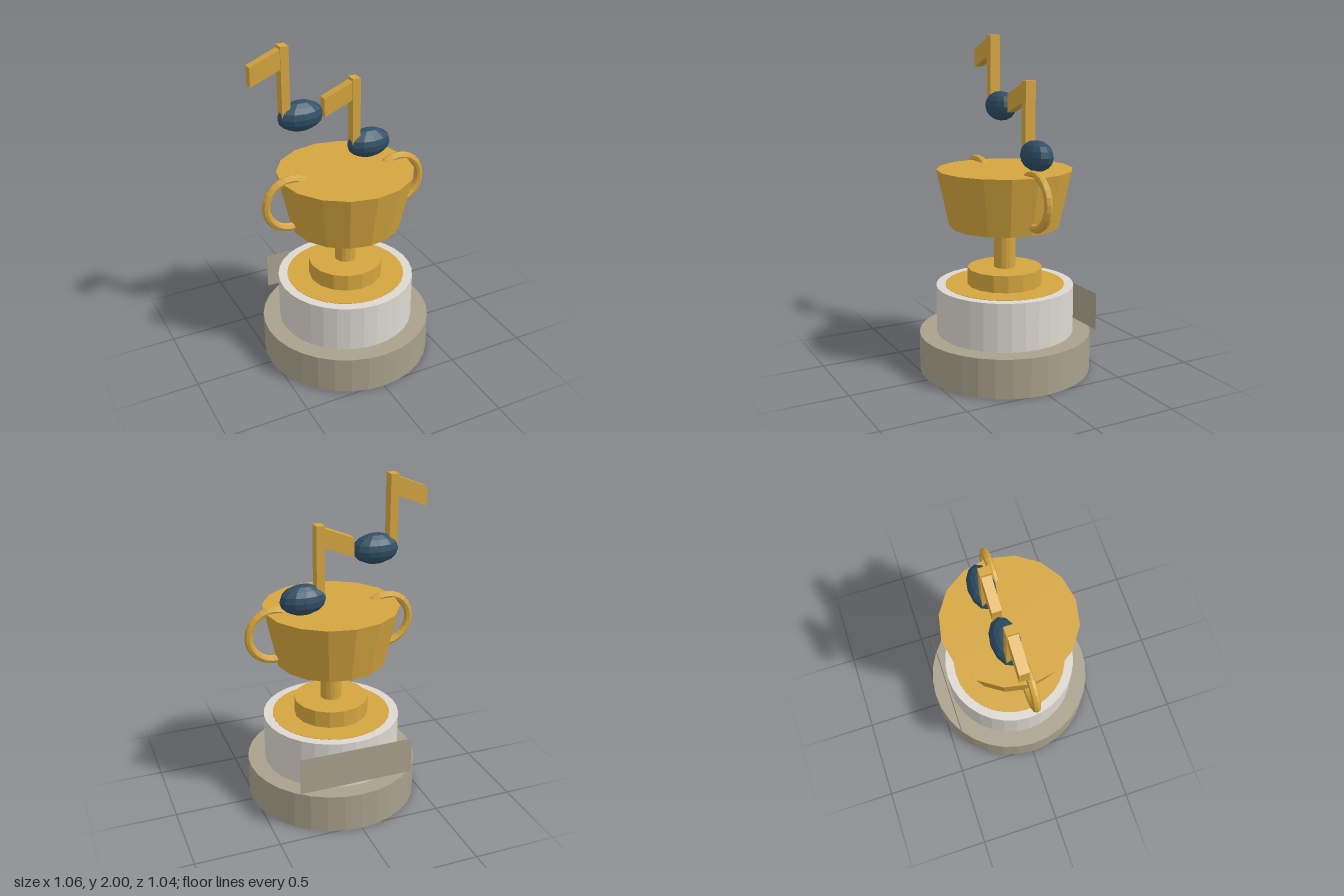
import * as THREE from 'three';

export function createModel() {
  const material = (name, color, extra = {}) => {
    const m = new THREE.MeshStandardMaterial({ color, flatShading: true, ...extra });
    m.name = name;
    return m;
  };
  const gold = material('gold', 0xd4a53f);
  const marble = material('pale marble', 0xdcd7d0);
  const stone = material('grey stone', 0xa9a08c, { side: THREE.DoubleSide });
  const navy = material('navy blue', 0x2f4f66);

  const trophy = new THREE.Group();
  trophy.name = 'trophy';
  const add = (parent, name, geometry, mat, x = 0, y = 0, z = 0) => {
    const mesh = new THREE.Mesh(geometry, mat);
    mesh.name = name;
    mesh.position.set(x, y, z);
    parent.add(mesh);
    return mesh;
  };
  // Round tier between two heights
  const tier = (name, mat, rBottom, rTop, y0, y1, sides) =>
    add(trophy, name, new THREE.CylinderGeometry(rTop, rBottom, y1 - y0, sides), mat, 0, (y0 + y1) / 2, 0);

  // Stacked base, foot, stem and cup
  tier('base', stone, 0.52, 0.52, 0, 0.235, 32);
  tier('plinth', marble, 0.415, 0.415, 0.235, 0.525, 32);
  tier('plinthInlay', gold, 0.36, 0.36, 0.522, 0.527, 32);
  tier('foot', gold, 0.225, 0.225, 0.525, 0.63, 16);
  tier('stem', gold, 0.064, 0.064, 0.63, 0.885, 16);
  tier('cup', gold, 0.33, 0.405, 0.885, 1.228, 16);

  // Blank nameplate standing just behind the plinth
  add(trophy, 'nameplate', new THREE.PlaneGeometry(0.7, 0.225), stone, 0, 0.375, -0.432).rotation.y = Math.PI;

  // Ear-shaped handles, open towards the cup
  const start = THREE.MathUtils.degToRad(-100);
  const arc = THREE.MathUtils.degToRad(235);
  for (const side of [1, -1]) {
    const handle = new THREE.Group();
    handle.name = side > 0 ? 'leftHandle' : 'rightHandle';
    handle.position.set(side * 0.352, 1.087, 0);
    if (side < 0) handle.rotation.y = Math.PI;
    const ring = add(handle, 'handleRing', new THREE.TorusGeometry(0.153, 0.025, 8, 16, arc), gold);
    ring.rotation.z = start;
    trophy.add(handle);
  }

  // Slanted flag, extruded through its depth
  const flagShape = new THREE.Shape([
    [-0.3, 0.335], [-0.3, 0.225], [-0.1, 0.305], [-0.1, 0.417],
  ].map(([x, y]) => new THREE.Vector2(x, y)));

  // Musical notes, positioned by the centre of the head
  const addNote = (name, x, y) => {
    const note = new THREE.Group();
    note.name = name;
    note.position.set(x, y, -0.098);
    const head = add(note, 'noteHead', new THREE.SphereGeometry(1, 12, 8), navy);
    head.scale.set(0.14, 0.09, 0.082);
    add(note, 'noteStem', new THREE.BoxGeometry(0.05, 0.425, 0.066), gold, -0.097, 0.2125, 0);
    const flag = new THREE.ExtrudeGeometry(flagShape, { depth: 0.056, bevelEnabled: false });
    add(note, 'noteFlag', flag, gold, 0, 0, -0.028);
    trophy.add(note);
  };
  addNote('upperNote', -0.235, 1.575);
  addNote('lowerNote', 0.205, 1.322);

  return trophy;
}
